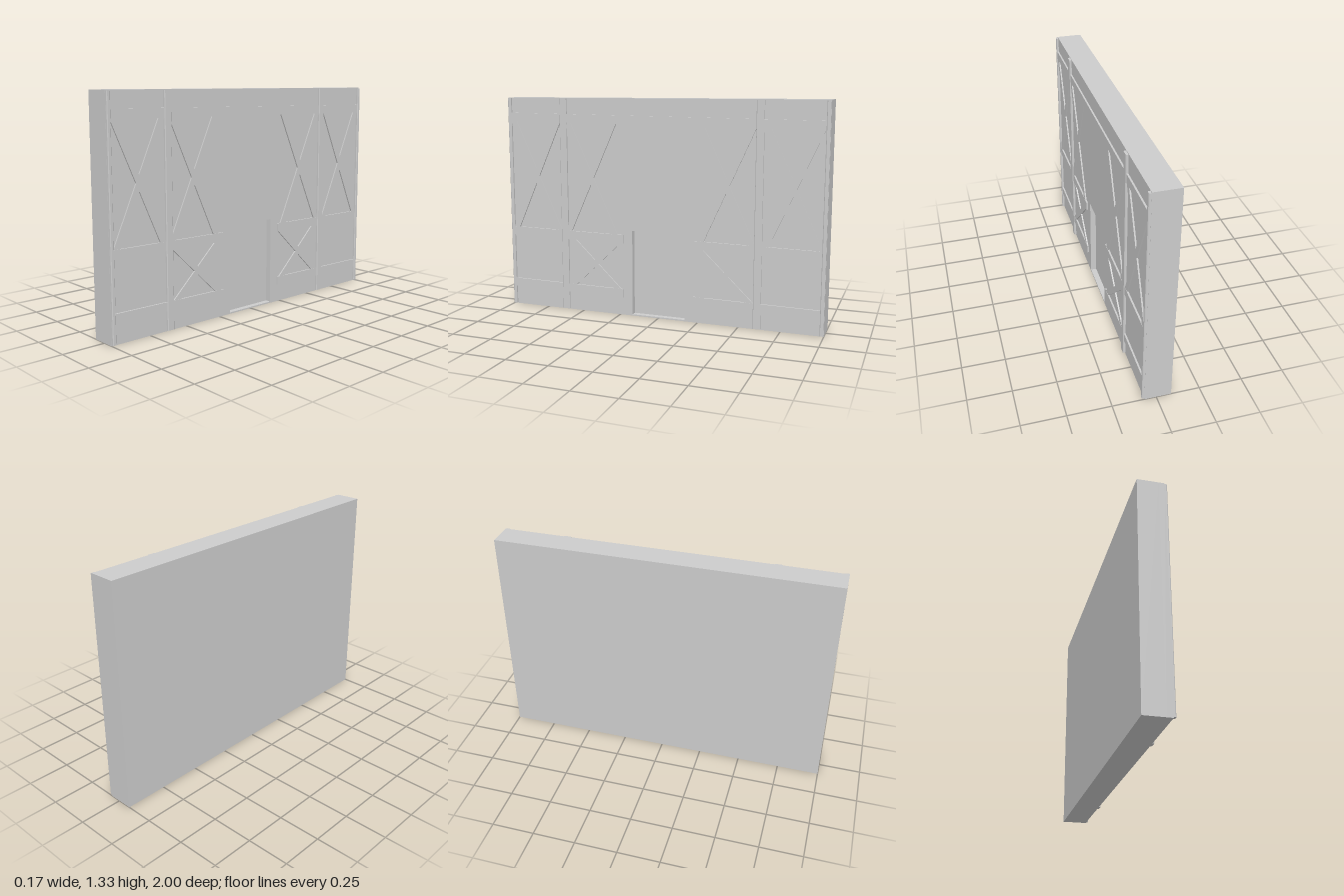
import * as THREE from 'three';

const H = 1.33, FACE = 0.068, BACK = -0.085, RECESS = 0.035;
const grey = new THREE.MeshStandardMaterial({ color: 0xcccccc, flatShading: true });

// Shape from [z, y] corners; drawn with -z to the right, as seen from +x
const outline = (pts) => new THREE.Shape(pts.map(([z, y]) => new THREE.Vector2(-z, y)));
const rect = (z0, z1, y0, y1) => [[z1, y0], [z0, y0], [z0, y1], [z1, y1]];

export function createModel() {
  const model = new THREE.Group();

  // Extrude a wall-plane shape from x0 to x1
  function slab(name, shape, x0, x1) {
    const geo = new THREE.ExtrudeGeometry(shape, { depth: x1 - x0, bevelEnabled: false });
    geo.rotateY(Math.PI / 2).translate(x0, 0, 0);
    const mesh = new THREE.Mesh(geo, grey);
    mesh.name = name;
    model.add(mesh);
  }

  // Wall: solid back and a front layer with the doorway cut through it
  slab('wallBack', outline(rect(-1, 1, 0, H)), BACK, FACE - RECESS);
  const front = outline(rect(-1, 1, 0, H));
  front.holes.push(outline(rect(-0.168, 0.168, 0.008, 0.533)));
  slab('wallFront', front, FACE - RECESS, FACE);

  // Upright posts with slightly chamfered front edges
  function post(name, z0, z1) {
    const c = 0.004, x0 = FACE - 0.004, x1 = 0.082;
    const s = new THREE.Shape([[x0, z0], [x1 - c, z0], [x1, z0 + c], [x1, z1 - c], [x1 - c, z1], [x0, z1]]
      .map(([x, z]) => new THREE.Vector2(x, -z)));
    const geo = new THREE.ExtrudeGeometry(s, { depth: H - 0.009, bevelEnabled: false });
    geo.rotateX(-Math.PI / 2).translate(0, 0.005, 0);
    const mesh = new THREE.Mesh(geo, grey);
    mesh.name = name;
    model.add(mesh);
  }
  post('cornerPost', 0.977, 0.999);
  post('cornerPost', -0.999, -0.977);
  post('doorwayPost', 0.595, 0.64);
  post('doorwayPost', -0.635, -0.59);

  // Horizontal rails, falling slightly towards -z
  function rail(name, y, z0, z1) {
    const at = (z, d) => [z, y + 0.01 * z + d];
    slab(name, outline([at(z1, -0.026), at(z0, -0.026), at(z0, 0.026), at(z1, 0.026)]), FACE - 0.004, 0.078);
  }
  rail('topRail', 1.2, -0.99, 0.99);
  for (const [name, y] of [['middleRail', 0.476], ['lowerRail', 0.136]]) {
    rail(name, y, 0.225, 0.99);
    rail(name, y, -0.99, -0.225);
  }

  // Crossed braces, with ends cut level inside the rails
  function cross(name, z0, z1, y0, y1) {
    const w = 0.0175 * Math.hypot(z1 - z0, y1 - y0) / (y1 - y0);
    for (const [a, b] of [[z0, z1], [z1, z0]]) {
      slab(name, outline([[a + w, y0], [a - w, y0], [b - w, y1], [b + w, y1]]), FACE - 0.004, 0.0765);
    }
  }
  cross('innerBrace', 0.28, 0.594, 0.5, 1.19);
  cross('innerBrace', -0.577, -0.263, 0.49, 1.18);
  cross('outerBrace', 0.655, 0.965, 0.5, 1.19);
  cross('outerBrace', -0.962, -0.652, 0.49, 1.18);
  cross('lowerBrace', 0.255, 0.58, 0.155, 0.465);
  cross('lowerBrace', -0.575, -0.25, 0.145, 0.455);

  return model;
}
